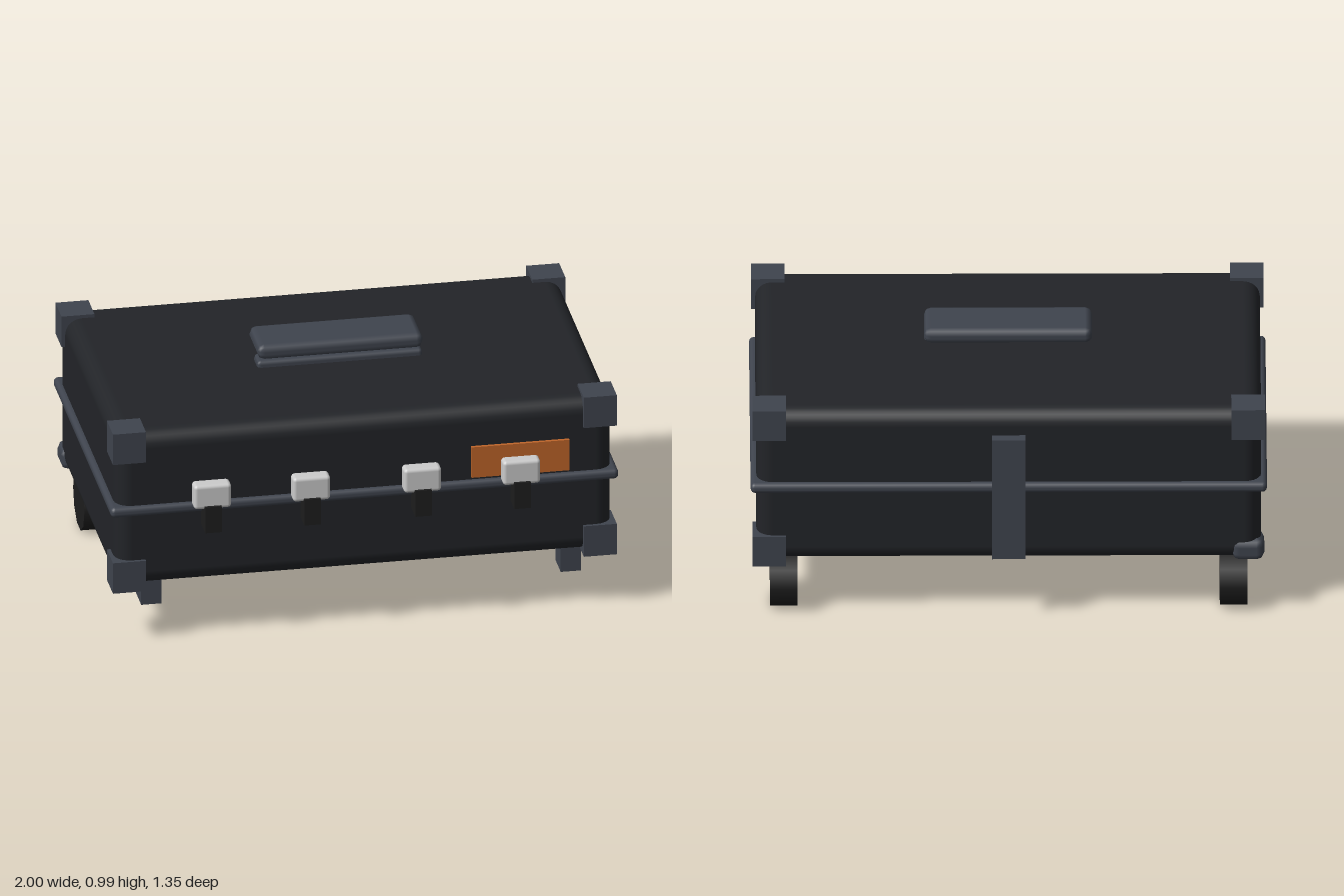
import * as THREE from 'three';
import { RoundedBoxGeometry } from 'three/addons/geometries/RoundedBoxGeometry.js';

const mat = (color) => new THREE.MeshStandardMaterial({ color });

export function createModel() {
  const model = new THREE.Group();
  const shell = mat(0x222428);
  const trim = mat(0x3f444e);
  const rubber = mat(0x1d1d1d);
  const metal = mat(0xcccccc);
  const orange = mat(0xc0662a);

  const add = (name, geometry, material, x, y, z) => {
    const mesh = new THREE.Mesh(geometry, material);
    mesh.name = name;
    mesh.position.set(x, y, z);
    model.add(mesh);
    return mesh;
  };
  const box = (w, h, d) => new THREE.BoxGeometry(w, h, d);
  const rounded = (w, h, d, segments, r) => new RoundedBoxGeometry(w, h, d, segments, r);

  // Case shell and the rim where lid and base meet
  add('shell', rounded(1.955, 0.653, 1.2, 3, 0.065), shell, 0, 0.562, -0.01);
  add('rim', rounded(2, 0.042, 1.24, 2, 0.018), trim, 0, 0.564, -0.012);

  // Corner guards; one lower rear guard is smaller and bevelled
  const guard = box(0.13, 0.13, 0.13);
  for (const sx of [-1, 1]) {
    for (const z of [-0.558, 0.538]) {
      add('upperCornerGuard', guard, trim, sx * 0.927, 0.837, z);
      if (sx < 0 && z < 0) {
        add('bevelledCornerGuard', rounded(0.125, 0.09, 0.125, 1, 0.03), trim, -0.927, 0.28, z);
      } else {
        add('lowerCornerGuard', guard, trim, sx * 0.927, 0.287, z);
      }
    }

    // Front foot and rear wheel on each side
    add('frontFoot', box(0.08, 0.13, 0.11), trim, sx * 0.826, 0.192, 0.468);
    const wheel = add('rearWheel', new THREE.CylinderGeometry(0.12, 0.12, 0.107, 10), rubber,
      sx * 0.871, 0.115, -0.49);
    wheel.rotation.z = Math.PI / 2;
  }

  // Top handle: grip over its mounting bar
  add('handleGrip', rounded(0.65, 0.062, 0.216, 1, 0.026), trim, 0, 0.955, -0.01);
  add('handleBase', rounded(0.65, 0.06, 0.09, 1, 0.015), trim, 0, 0.884, 0.034);

  // Pull bar on the back
  add('pullBar', box(0.13, 0.52, 0.043), trim, 0, 0.54, -0.654);

  // Latches along the front, each a metal plate with a dark hasp
  const plate = rounded(0.148, 0.102, 0.064, 2, 0.015);
  const hasp = box(0.065, 0.11, 0.086);
  for (const x of [-0.61, -0.22, 0.217, 0.607]) {
    add('latchPlate', plate, metal, x, 0.631, 0.635);
    add('latchHasp', hasp, rubber, x, 0.54, 0.635);
  }

  // Coloured tag
  add('tag', box(0.386, 0.13, 0.013), orange, 0.61, 0.67, 0.613);

  return model;
}
